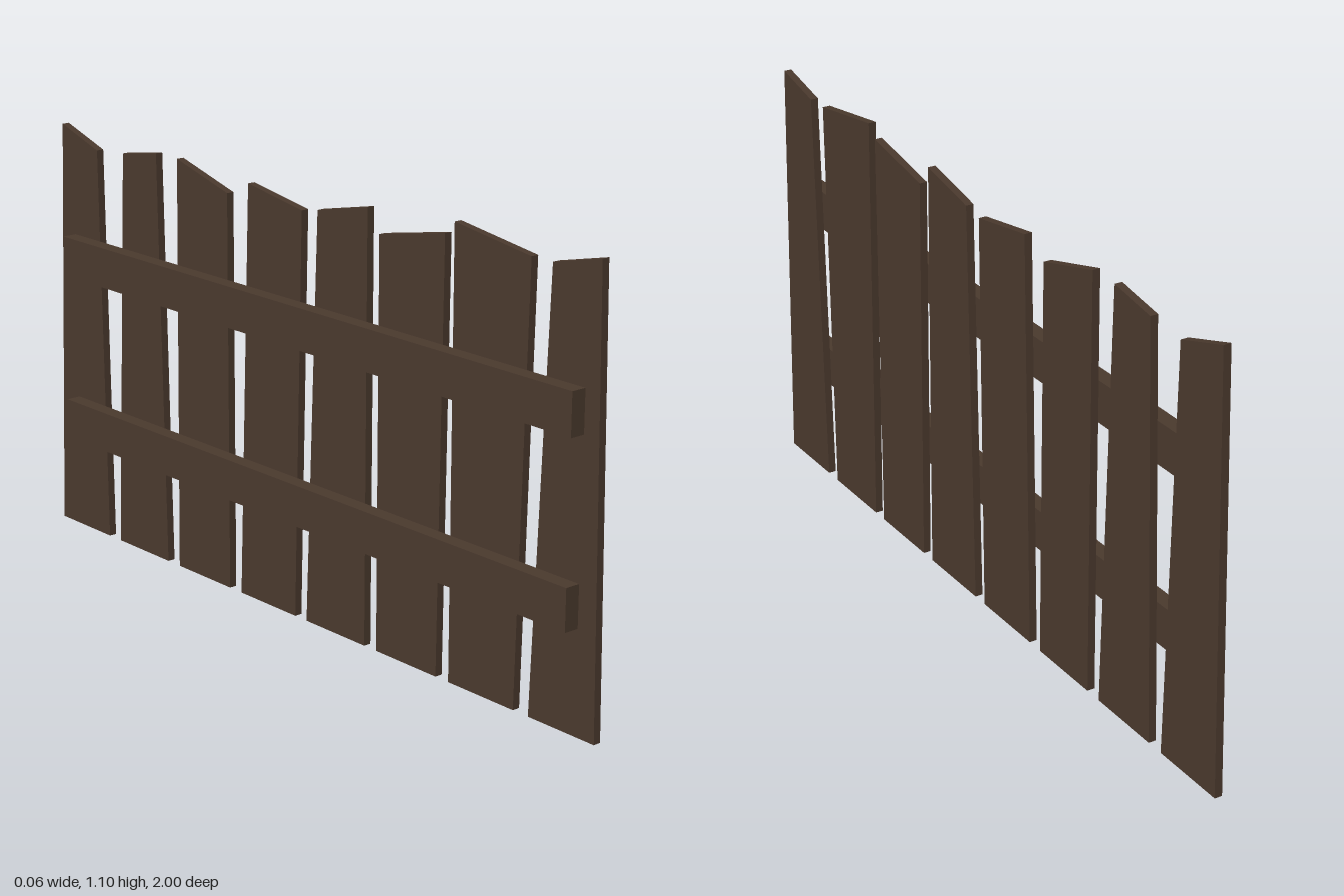
import * as THREE from 'three';

// Each picket: [bottom z front, bottom z back, top z front, top y front, top z back, top y back]
const PICKETS = [
  [1.0, 0.795, 0.977, 1.1, 0.833, 1.066],
  [0.747, 0.533, 0.769, 1.066, 0.528, 1.1],
  [0.49, 0.281, 0.498, 1.068, 0.279, 1.026],
  [0.238, 0.024, 0.238, 1.082, 0.062, 1.045],
  [-0.019, -0.23, 0.005, 1.034, -0.195, 1.066],
  [-0.276, -0.485, -0.276, 1.028, -0.474, 1.082],
  [-0.533, -0.742, -0.56, 1.082, -0.699, 1.06],
  [-0.79, -1.0, -0.811, 1.05, -0.961, 1.098],
];

export function createModel() {
  const fence = new THREE.Group();
  fence.name = 'picketFence';
  const wood = new THREE.MeshStandardMaterial({ color: 0x4a392d, flatShading: true });

  const add = (name, geometry) => {
    const mesh = new THREE.Mesh(geometry, wood);
    mesh.name = name;
    fence.add(mesh);
    return mesh;
  };

  // Uneven tapered pickets with slanted tops, drawn in the z-y plane
  PICKETS.forEach(([b0, b1, t0, y0, t1, y1], i) => {
    const outline = new THREE.Shape([
      new THREE.Vector2(b0, 0),
      new THREE.Vector2(t0, y0),
      new THREE.Vector2(t1, y1),
      new THREE.Vector2(b1, 0),
    ]);
    const geometry = new THREE.ExtrudeGeometry(outline, { depth: 0.02, bevelEnabled: false });
    geometry.rotateY(-Math.PI / 2).translate(0.03, 0, 0);
    add(`picket${i + 1}`, geometry);
  });

  // Horizontal rails behind the pickets
  for (const [name, y] of [['lowerRail', 0.31], ['upperRail', 0.757]]) {
    add(name, new THREE.BoxGeometry(0.04, 0.105, 1.855)).position.set(-0.01, y, 0.0125);
  }

  return fence;
}
